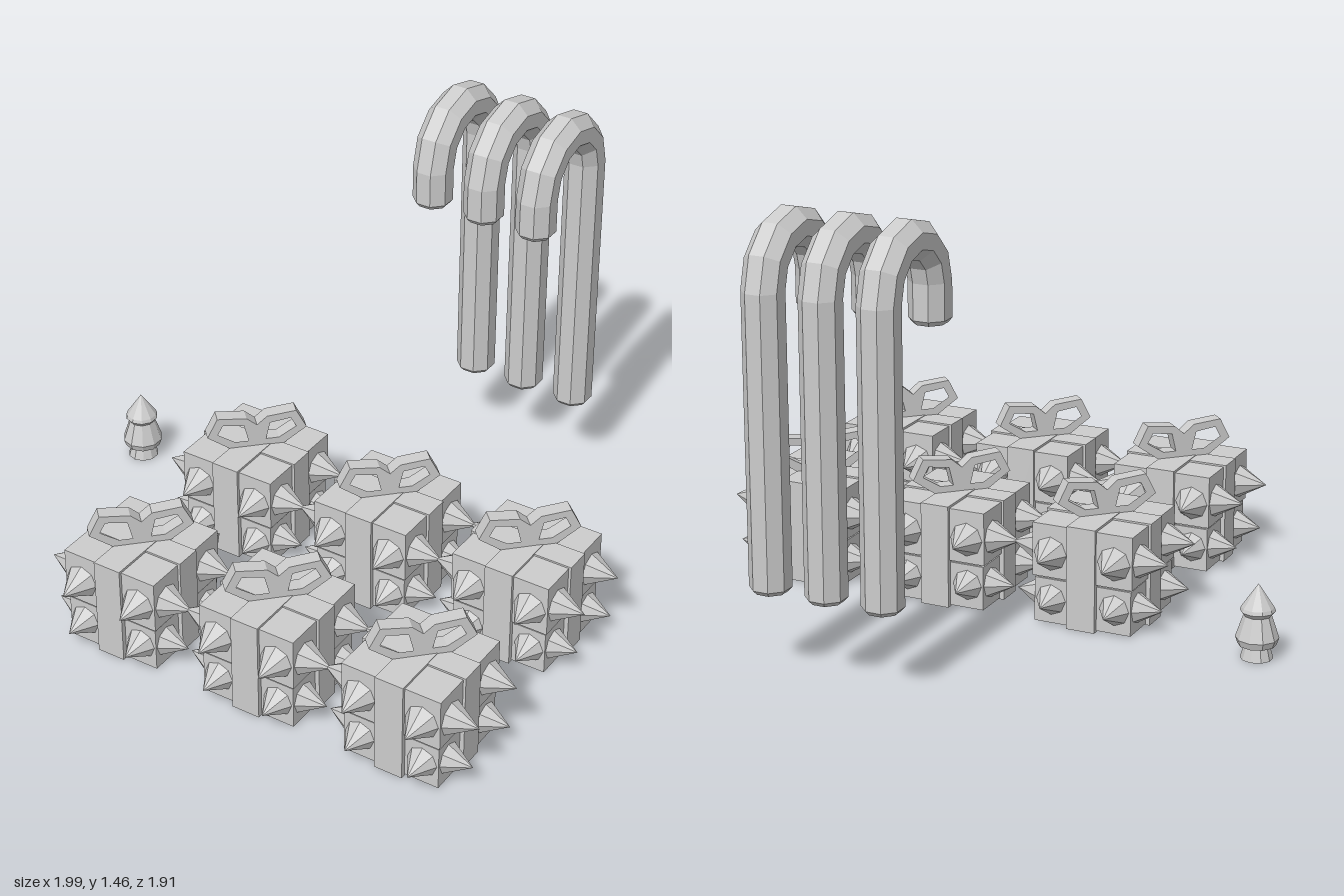
import * as THREE from 'three';

const grey = new THREE.MeshStandardMaterial({ color: 0xcccccc, flatShading: true });
grey.name = 'plain grey';

function add(parent, name, geometry, x = 0, y = 0, z = 0) {
  const mesh = new THREE.Mesh(geometry, grey);
  mesh.name = name;
  mesh.position.set(x, y, z);
  parent.add(mesh);
  return mesh;
}

// Box standing between two heights
function slab(parent, name, w, d, y0, y1) {
  return add(parent, name, new THREE.BoxGeometry(w, y1 - y0, d), 0, (y0 + y1) / 2, 0);
}

// One faceted loop of the bow, open in the middle
function bowLoopGeometry(side) {
  const pts = (list) => list.map(([x, y]) => new THREE.Vector2(x * side, y));
  const shape = new THREE.Shape(
    pts([[0, 0.345], [0.085, 0.345], [0.17, 0.405], [0.135, 0.475], [0.035, 0.465], [0, 0.435]]));
  shape.holes.push(new THREE.Path(
    pts([[0.03, 0.375], [0.075, 0.375], [0.135, 0.412], [0.116, 0.448], [0.045, 0.438]])));
  const geo = new THREE.ExtrudeGeometry(shape, { depth: 0.05, bevelEnabled: false });
  geo.translate(0, 0, -0.025);
  return geo;
}

function createGift() {
  const gift = new THREE.Group();
  gift.name = 'spikedGift';
  slab(gift, 'lowerBox', 0.34, 0.34, 0.005, 0.156);
  slab(gift, 'seam', 0.325, 0.325, 0.15, 0.17);
  slab(gift, 'upperBox', 0.352, 0.352, 0.164, 0.345);

  // Ribbon bands crossing on top and bottom
  slab(gift, 'ribbonFrontToBack', 0.1, 0.374, 0, 0.353);
  slab(gift, 'ribbonSideToSide', 0.37, 0.09, 0.001, 0.351);

  // Four spikes on each of the four sides
  for (let side = 0; side < 4; side++) {
    const face = new THREE.Group();
    face.name = 'spikeFace';
    face.rotation.y = side * Math.PI / 2;
    for (const [y, radius, base, tip] of [[0.085, 0.055, 0.165, 0.258], [0.246, 0.06, 0.172, 0.276]]) {
      for (const x of [-0.112, 0.112]) {
        const cone = new THREE.ConeGeometry(radius, tip - base, 8);
        cone.rotateX(Math.PI / 2);
        add(face, 'spike', cone, x, y, (base + tip) / 2);
      }
    }
    gift.add(face);
  }

  // Bow set diagonally on the lid
  const bow = new THREE.Group();
  bow.name = 'bow';
  bow.rotation.y = Math.PI / 4;
  for (const side of [-1, 1]) add(bow, 'bowLoop', bowLoopGeometry(side));
  gift.add(bow);
  return gift;
}

// Octagonal rod swept along leg, arc and hook, with chamfered ends
function caneGeometry() {
  const R = 0.163, arcY = 1.235, sides = 8, radius = 0.068;
  // Each ring: height, z, turn angle, scale
  const rings = [[0.275, -R, 0, 0.8], [0.29, -R, 0, 1]];
  for (let i = 0; i <= 6; i++) {
    const a = i * Math.PI / 6;
    rings.push([arcY + R * Math.sin(a), -R * Math.cos(a), a, 1]);
  }
  rings.push([1.118, R, Math.PI, 1], [1.102, R, Math.PI, 0.8]);

  const positions = [], index = [];
  for (const [y, z, a, s] of rings) {
    for (let j = 0; j < sides; j++) {
      const t = (j + 0.5) * 2 * Math.PI / sides;
      const u = Math.cos(t) * radius * s, v = Math.sin(t) * radius * s;
      positions.push(u, y + v * Math.sin(a), z - v * Math.cos(a));
    }
  }
  for (let i = 0; i < rings.length - 1; i++) {
    for (let j = 0; j < sides; j++) {
      const k = (j + 1) % sides;
      const a = i * sides + j, b = i * sides + k, c = a + sides, d = b + sides;
      index.push(a, b, d, a, d, c);
    }
  }
  const last = (rings.length - 1) * sides;
  for (let j = 1; j < sides - 1; j++) {
    index.push(0, j + 1, j, last, last + j, last + j + 1);
  }
  const geo = new THREE.BufferGeometry();
  geo.setAttribute('position', new THREE.Float32BufferAttribute(positions, 3));
  geo.setIndex(index);
  geo.computeVertexNormals();
  return geo;
}

export function createModel() {
  const model = new THREE.Group();
  model.name = 'holidayPieces';

  // Two rows of three gifts
  for (const z of [0.02, 0.677]) {
    for (const x of [-0.337, 0.191, 0.719]) {
      const gift = createGift();
      gift.position.set(x, 0, z);
      model.add(gift);
    }
  }

  // Three hooked canes hanging behind
  for (const x of [-0.01, 0.186, 0.383]) {
    add(model, 'cane', caneGeometry(), x, 0, -0.733);
  }

  // Small two-tier tree
  const profile = [[0, 0], [0.053, 0], [0.04, 0.047], [0.062, 0.047], [0.07, 0.07],
    [0.045, 0.145], [0.057, 0.16], [0.053, 0.172], [0, 0.25]]
    .map(([r, y]) => new THREE.Vector2(r, y));
  add(model, 'tree', new THREE.LatheGeometry(profile, 10), -0.93, 0, -0.122);
  return model;
}
